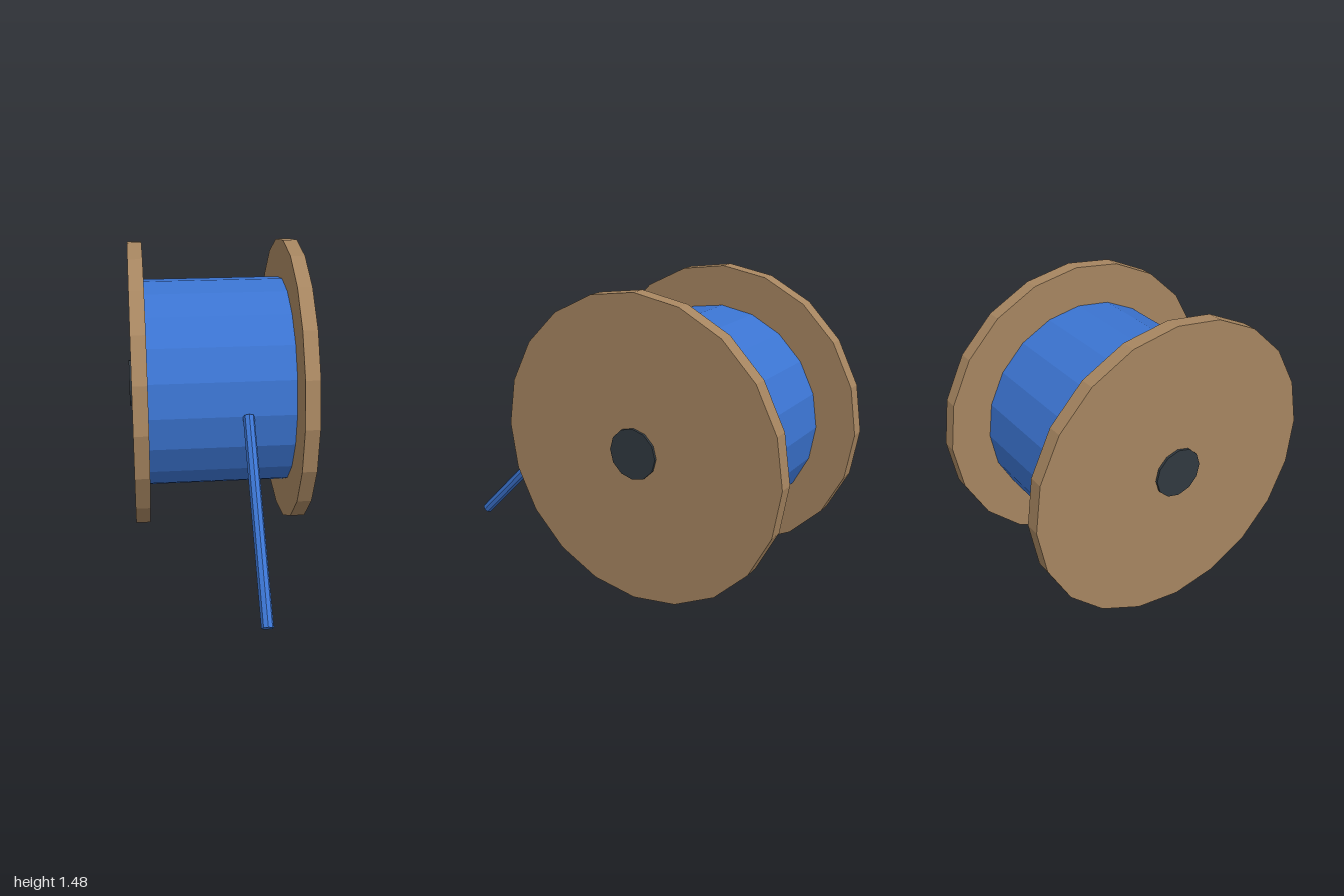
import * as THREE from 'three';

const material = (name, color) => {
  const m = new THREE.MeshStandardMaterial({ color, flatShading: true });
  m.name = name;
  return m;
};

export function createModel() {
  const group = new THREE.Group();
  const wood = material('wood', 0xa68560);
  const cableBlue = material('cableBlue', 0x3b74d1);
  const darkMetal = material('darkMetal', 0x30383f);

  const axleY = 0.743, axleZ = -0.258;

  // Cylinder lying along x, centred on the axle
  const disc = (name, radius, width, sides, x, mat) => {
    const geometry = new THREE.CylinderGeometry(radius, radius, width, sides);
    geometry.rotateZ(Math.PI / 2);
    const mesh = new THREE.Mesh(geometry, mat);
    mesh.name = name;
    mesh.position.set(x, axleY, axleZ);
    group.add(mesh);
  };

  // Wound cable drum
  disc('woundCable', 0.543, 0.72, 20, 0, cableBlue);

  // Flanges and axle hubs on both sides
  for (const [side, s] of [['left', 1], ['right', -1]]) {
    disc(side + 'Flange', 0.742, 0.072, 20, s * 0.395, wood);
    disc(side + 'Hub', 0.123, 0.04, 12, s * 0.423, darkMetal);
  }

  // Loose cable end sloping from the drum to the ground
  const top = new THREE.Vector3(0.122, 0.743, 0.283);
  const bottom = new THREE.Vector3(0.122, 0.028, 0.98);
  const along = top.clone().sub(bottom);
  const looseCable = new THREE.Mesh(
    new THREE.CylinderGeometry(0.028, 0.028, along.length(), 8), cableBlue);
  looseCable.name = 'looseCable';
  looseCable.position.copy(top).add(bottom).multiplyScalar(0.5);
  looseCable.quaternion.setFromUnitVectors(new THREE.Vector3(0, 1, 0), along.normalize());
  group.add(looseCable);

  return group;
}
